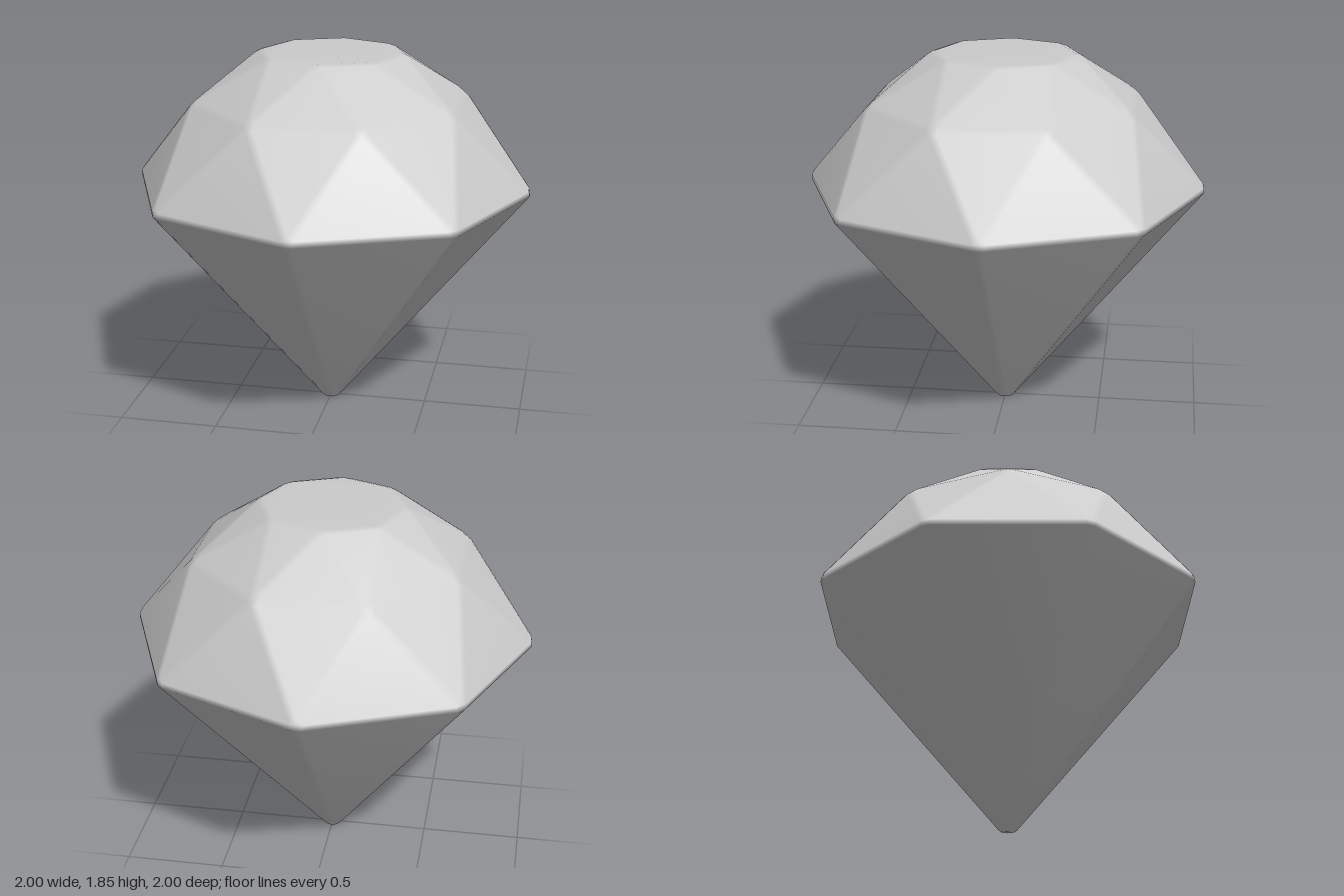
import * as THREE from 'three';
import { ConvexGeometry } from 'three/addons/geometries/ConvexGeometry.js';
import { mergeVertices } from 'three/addons/utils/BufferGeometryUtils.js';

const SIDES = 8;
const BEVEL = 0.018;

// point on a ring; i counts eighths of a turn
function ringPoint(radius, y, i) {
  const a = (i / SIDES) * Math.PI * 2;
  return new THREE.Vector3(radius * Math.cos(a), y, radius * Math.sin(a));
}

// corners of a facet moved inward so that each edge shifts by the bevel width
function inset(corners) {
  const n = corners.length;
  return corners.map((p, i) => {
    const u = corners[(i + 1) % n].clone().sub(p).normalize();
    const v = corners[(i + n - 1) % n].clone().sub(p).normalize();
    const sine = u.clone().cross(v).length();
    return u.add(v).multiplyScalar(BEVEL / sine).add(p);
  });
}

export function createModel() {
  const girdle = (i) => ringPoint(1.018, 1.178, i);
  const shoulder = (i) => ringPoint(0.7, 1.615, i + 0.5);
  const table = (i) => ringPoint(0.363, 1.85, i);
  const tip = new THREE.Vector3(0, -0.059, 0);

  const facets = [[]];
  for (let i = 0; i < SIDES; i++) {
    facets[0].push(table(i)); // flat top
    facets.push(
      [table(i), table(i + 1), shoulder(i)], // star facet
      [table(i), shoulder(i), shoulder(i - 1)], // upper kite half
      [girdle(i), shoulder(i - 1), shoulder(i)], // lower kite half
      [girdle(i), girdle(i + 1), shoulder(i)], // crown facet
      [girdle(i), girdle(i + 1), tip], // pavilion facet
    );
  }

  // the hull around the inset facets fills in the bevelled edges and corners
  const hull = new ConvexGeometry(facets.flatMap(inset));
  hull.deleteAttribute('normal');
  const geometry = mergeVertices(hull);
  geometry.computeVertexNormals();
  geometry.computeBoundingBox();
  geometry.translate(0, -geometry.boundingBox.min.y, 0);

  const gem = new THREE.Mesh(geometry, new THREE.MeshStandardMaterial({ color: 0xcccccc }));
  gem.name = 'gemstone';
  const group = new THREE.Group();
  group.name = 'cutGem';
  group.add(gem);
  return group;
}
